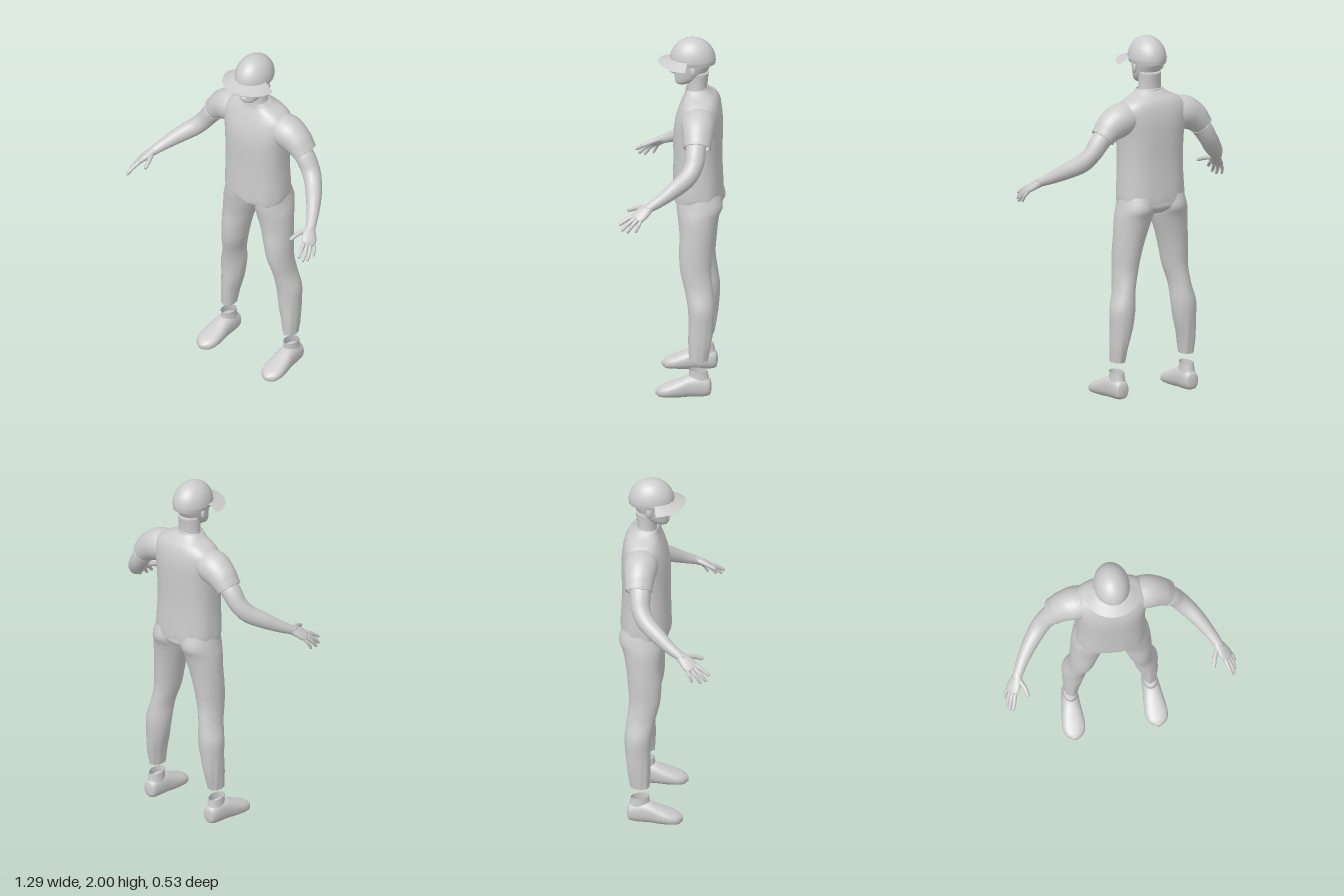
import * as THREE from 'three';

const grey = new THREE.MeshStandardMaterial({ color: 0xcccccc, side: THREE.DoubleSide });
grey.name = 'plain grey';

const X = new THREE.Vector3(1, 0, 0);
const UP = new THREE.Vector3(0, 1, 0);

// Smooth skin over rings [x, y, z, halfWidth, halfDepth].
// dir fixes the ring plane; without it the rings follow the path.
function loft(rings, { dir = null, ref = X, n = 24, sub = 4, p = 1, caps = true, warp = null } = {}) {
  const centres = new THREE.CatmullRomCurve3(rings.map(r => new THREE.Vector3(r[0], r[1], r[2])), false, 'catmullrom');
  const sizes = new THREE.CatmullRomCurve3(rings.map(r => new THREE.Vector3(r[3], r[4], 0)), false, 'catmullrom');
  const steps = (rings.length - 1) * sub;
  const pos = [], index = [];
  const power = c => Math.sign(c) * Math.pow(Math.abs(c), p);
  const put = v => { if (warp) warp(v); pos.push(v.x, v.y, v.z); };
  for (let i = 0; i <= steps; i++) {
    const c = centres.getPoint(i / steps), s = sizes.getPoint(i / steps);
    const t = dir || centres.getTangent(i / steps);
    const u = ref.clone().addScaledVector(t, -ref.dot(t)).normalize();
    const v = t.clone().cross(u);
    for (let j = 0; j < n; j++) {
      const a = j / n * Math.PI * 2;
      put(c.clone().addScaledVector(u, Math.max(s.x, 0.001) * power(Math.cos(a)))
        .addScaledVector(v, Math.max(s.y, 0.001) * power(Math.sin(a))));
      if (i < steps) {
        const k = (j + 1) % n, A = i * n;
        index.push(A + j, A + k, A + n + k, A + j, A + n + k, A + n + j);
      }
    }
  }
  if (caps) {
    put(centres.getPoint(0));
    put(centres.getPoint(1));
    const first = (steps + 1) * n, last = steps * n;
    for (let j = 0; j < n; j++) {
      const k = (j + 1) % n;
      index.push(first, k, j, first + 1, last + j, last + k);
    }
  }
  const g = new THREE.BufferGeometry();
  g.setAttribute('position', new THREE.Float32BufferAttribute(pos, 3));
  g.setIndex(index);
  g.computeVertexNormals();
  return g;
}

export function createModel() {
  const model = new THREE.Group();
  model.name = 'standingMan';
  const add = (name, geometry) => {
    const m = new THREE.Mesh(geometry, grey);
    m.name = name;
    model.add(m);
    return m;
  };
  const ball = (name, x, y, z, rx, ry, rz) => {
    const m = add(name, new THREE.SphereGeometry(1, 16, 12));
    m.position.set(x, y, z);
    m.scale.set(rx, ry, rz);
    return m;
  };

  // Shirt body, with folds and an uneven hem
  add('shirt', loft([
    [0, 1.085, -0.122, 0.188, 0.137], [0, 1.13, -0.122, 0.192, 0.138], [0, 1.3, -0.12, 0.186, 0.133],
    [0, 1.45, -0.121, 0.192, 0.134], [0, 1.54, -0.126, 0.205, 0.128], [0, 1.61, -0.132, 0.205, 0.112],
    [0, 1.655, -0.133, 0.165, 0.094], [0, 1.685, -0.125, 0.105, 0.075], [0, 1.71, -0.115, 0.072, 0.062],
  ], {
    dir: UP, n: 48, p: 0.82, caps: false,
    warp: v => {
      const k = THREE.MathUtils.clamp((1.24 - v.y) / 0.15, 0, 1);
      const a = Math.atan2(v.z + 0.12, v.x);
      const f = 1 + k * 0.012 * Math.sin(a * 11);
      v.x *= f;
      v.z = -0.12 + (v.z + 0.12) * f;
      v.y += k * 0.009 * Math.sin(a * 7 + 1);
    },
  }));
  const collar = add('collar', new THREE.TorusGeometry(1, 0.09, 8, 32));
  collar.position.set(0, 1.705, -0.115);
  collar.rotation.x = Math.PI / 2 + 0.1;
  collar.scale.set(0.07, 0.06, 0.07);

  // Seat of the trousers
  add('trouserSeat', loft([
    [0, 1.16, -0.125, 0.17, 0.115], [0, 1.1, -0.128, 0.19, 0.128],
    [0, 1.06, -0.13, 0.185, 0.125], [0, 1.03, -0.128, 0.13, 0.085], [0, 1.015, -0.125, 0.06, 0.04],
  ].reverse(), { dir: UP, n: 32 }));

  for (const s of [1, -1]) {
    const side = s > 0 ? 'left' : 'right';
    const flip = rings => rings.map(([x, ...rest]) => [x * s, ...rest]);

    // Trouser leg, open at the ankle
    add(side + 'TrouserLeg', loft(flip([
      [0.218, 0.205, -0.14, 0.037, 0.05], [0.213, 0.3, -0.148, 0.048, 0.062],
      [0.201, 0.4, -0.153, 0.062, 0.069], [0.194, 0.5, -0.153, 0.07, 0.074],
      [0.178, 0.6, -0.138, 0.06, 0.078], [0.16, 0.7, -0.12, 0.068, 0.085],
      [0.148, 0.8, -0.12, 0.078, 0.092], [0.132, 0.9, -0.126, 0.09, 0.097],
      [0.112, 1.0, -0.13, 0.103, 0.112], [0.102, 1.06, -0.137, 0.1, 0.127], [0.095, 1.13, -0.13, 0.09, 0.118],
    ]), {
      dir: UP, n: 28, caps: false,
      warp: v => {
        const k = THREE.MathUtils.clamp((0.48 - v.y) / 0.15, 0, 1);
        const cx = s * 0.212, a = Math.atan2(v.z + 0.145, v.x - cx);
        v.x += k * 0.003 * Math.cos(a) * Math.sin(a * 9);
        v.z += k * 0.003 * Math.sin(a) * Math.sin(a * 9);
      },
    }));

    // Sleeve with a rolled cuff
    add(side + 'Sleeve', loft(flip([
      [0.1, 1.565, -0.135, 0.075, 0.08], [0.19, 1.56, -0.137, 0.092, 0.094],
      [0.255, 1.53, -0.14, 0.084, 0.085], [0.295, 1.495, -0.141, 0.07, 0.078], [0.316, 1.471, -0.141, 0.062, 0.073],
    ]), { ref: UP, n: 28, caps: false }));
    const cuff = add(side + 'SleeveCuff', new THREE.TorusGeometry(1, 0.07, 8, 28));
    cuff.position.set(s * 0.313, 1.474, -0.141);
    cuff.rotation.set(0, 0, s * -0.85);
    cuff.geometry.rotateY(Math.PI / 2);
    cuff.scale.set(0.07, 0.061, 0.072);

    // Bare arm, bent forward at the elbow
    add(side + 'Arm', loft(flip([
      [0.24, 1.53, -0.135, 0.05, 0.05], [0.32, 1.455, -0.133, 0.055, 0.056],
      [0.37, 1.385, -0.125, 0.05, 0.052], [0.415, 1.33, -0.093, 0.05, 0.048],
      [0.47, 1.285, -0.03, 0.045, 0.042], [0.52, 1.24, 0.04, 0.034, 0.033],
      [0.552, 1.21, 0.095, 0.026, 0.028], [0.565, 1.197, 0.12, 0.022, 0.024],
    ]), { ref: UP, n: 20 }));

    // Palm, thumb and fingers
    const across = new THREE.Vector3(s * 0.035, -0.012, -0.06).normalize();
    add(side + 'Palm', loft(flip([
      [0.545, 1.217, 0.085, 0.022, 0.024], [0.565, 1.197, 0.118, 0.034, 0.022],
      [0.585, 1.175, 0.148, 0.042, 0.019], [0.6, 1.157, 0.172, 0.038, 0.014], [0.604, 1.152, 0.178, 0.025, 0.006],
    ]), { ref: across, n: 18 }));
    const digits = {
      Thumb: [[0.555, 1.205, 0.115], [0.528, 1.195, 0.17], [0.514, 1.175, 0.22], 0.013],
      IndexFinger: [[0.582, 1.168, 0.185], [0.593, 1.148, 0.225], [0.606, 1.122, 0.262], 0.011],
      MiddleFinger: [[0.594, 1.16, 0.177], [0.612, 1.13, 0.215], [0.621, 1.095, 0.247], 0.011],
      RingFinger: [[0.605, 1.155, 0.163], [0.624, 1.122, 0.194], [0.63, 1.087, 0.218], 0.0105],
      LittleFinger: [[0.61, 1.155, 0.142], [0.63, 1.125, 0.158], [0.636, 1.094, 0.172], 0.0095],
    };
    for (const [name, [a, b, c, r]] of Object.entries(digits)) {
      const tip = c.map((v, i) => v + (c[i] - b[i]) * 0.08);
      add(side + name, loft(flip([[...a, r * 1.15, r * 1.15], [...b, r, r], [...c, r * 0.75, r * 0.75], [...tip, 0.002, 0.002]]),
        { ref: across, n: 10, sub: 3 }));
    }

    // Slip-on shoe with an ankle collar
    add(side + 'Shoe', loft(flip([
      [0.222, 0.058, -0.211, 0.012, 0.02], [0.222, 0.058, -0.2, 0.038, 0.047], [0.223, 0.064, -0.15, 0.047, 0.062],
      [0.225, 0.062, -0.09, 0.052, 0.061], [0.227, 0.048, -0.03, 0.06, 0.05],
      [0.229, 0.036, 0.03, 0.062, 0.037], [0.23, 0.028, 0.07, 0.047, 0.028], [0.23, 0.025, 0.095, 0.012, 0.012],
    ]), { dir: new THREE.Vector3(0, 0, 1), n: 28, p: 0.85, warp: v => { v.y = Math.max(v.y, 0.003); } }))
      .position.y = -0.003;
    add(side + 'AnkleCollar', loft(flip([
      [0.222, 0.08, -0.145, 0.043, 0.06], [0.222, 0.12, -0.142, 0.038, 0.054], [0.222, 0.15, -0.139, 0.037, 0.052],
    ]), { dir: UP, n: 24, caps: false, warp: v => { if (v.y > 0.11) v.y -= (v.z + 0.14) * -0.1; } }));

    // Ear, brow and eye
    ball(side + 'Ear', s * 0.084, 1.832, -0.098, 0.012, 0.031, 0.019).rotation.y = s * -0.35;
    ball(side + 'Brow', s * 0.034, 1.847, 0.0, 0.027, 0.008, 0.014).rotation.y = s * 0.35;
    ball(side + 'Eye', s * 0.032, 1.832, -0.005, 0.013, 0.007, 0.011);
  }

  // Neck and head
  add('neck', loft([
    [0, 1.65, -0.125, 0.085, 0.065], [0, 1.7, -0.118, 0.067, 0.056],
    [0, 1.75, -0.118, 0.063, 0.056], [0, 1.81, -0.115, 0.065, 0.066],
  ], { dir: UP }));
  add('head', loft([
    [0, 1.732, -0.03, 0.018, 0.018], [0, 1.74, -0.037, 0.038, 0.037], [0, 1.757, -0.052, 0.055, 0.058],
    [0, 1.785, -0.075, 0.068, 0.081], [0, 1.82, -0.086, 0.076, 0.092], [0, 1.86, -0.094, 0.082, 0.105],
    [0, 1.91, -0.094, 0.082, 0.105],
  ], { dir: UP, n: 32 }));
  add('nose', loft([
    [0, 1.793, 0.006, 0.013, 0.014], [0, 1.802, 0.014, 0.018, 0.021], [0, 1.82, 0.01, 0.011, 0.016],
    [0, 1.85, 0.002, 0.009, 0.01],
  ], { dir: UP, n: 14 }));
  ball('upperLip', 0, 1.778, 0.003, 0.023, 0.005, 0.009);
  ball('lowerLip', 0, 1.769, 0.002, 0.019, 0.005, 0.009);

  // Cap crown and its lower band
  const crown = add('capCrown', new THREE.SphereGeometry(1, 36, 16, 0, Math.PI * 2, 0, Math.PI / 2));
  crown.position.set(0, 1.875, -0.092);
  crown.scale.set(0.099, 0.125, 0.126);
  add('capBand', loft([
    [0, 1.855, -0.094, 0.094, 0.121], [0, 1.876, -0.092, 0.099, 0.126],
  ], { dir: UP, n: 36, caps: false }));

  // Curved cap peak sweeping round the front
  const peak = new THREE.PlaneGeometry(1, 1, 40, 4);
  const pp = peak.attributes.position;
  for (let i = 0; i < pp.count; i++) {
    const a = (pp.getX(i) + 0.5) * Math.PI, k = pp.getY(i) + 0.5;
    const c = Math.cos(a), f = Math.sin(a);
    const inner = [0.097 * c, -0.07 + 0.1 * f];
    const outer = [0.156 * c, -0.06 + 0.157 * f];
    pp.setXYZ(i, THREE.MathUtils.lerp(inner[0], outer[0], k),
      1.884 - k * (0.018 + 0.018 * c * c), THREE.MathUtils.lerp(inner[1], outer[1], k));
  }
  peak.computeVertexNormals();
  add('capPeak', peak);

  return model;
}
